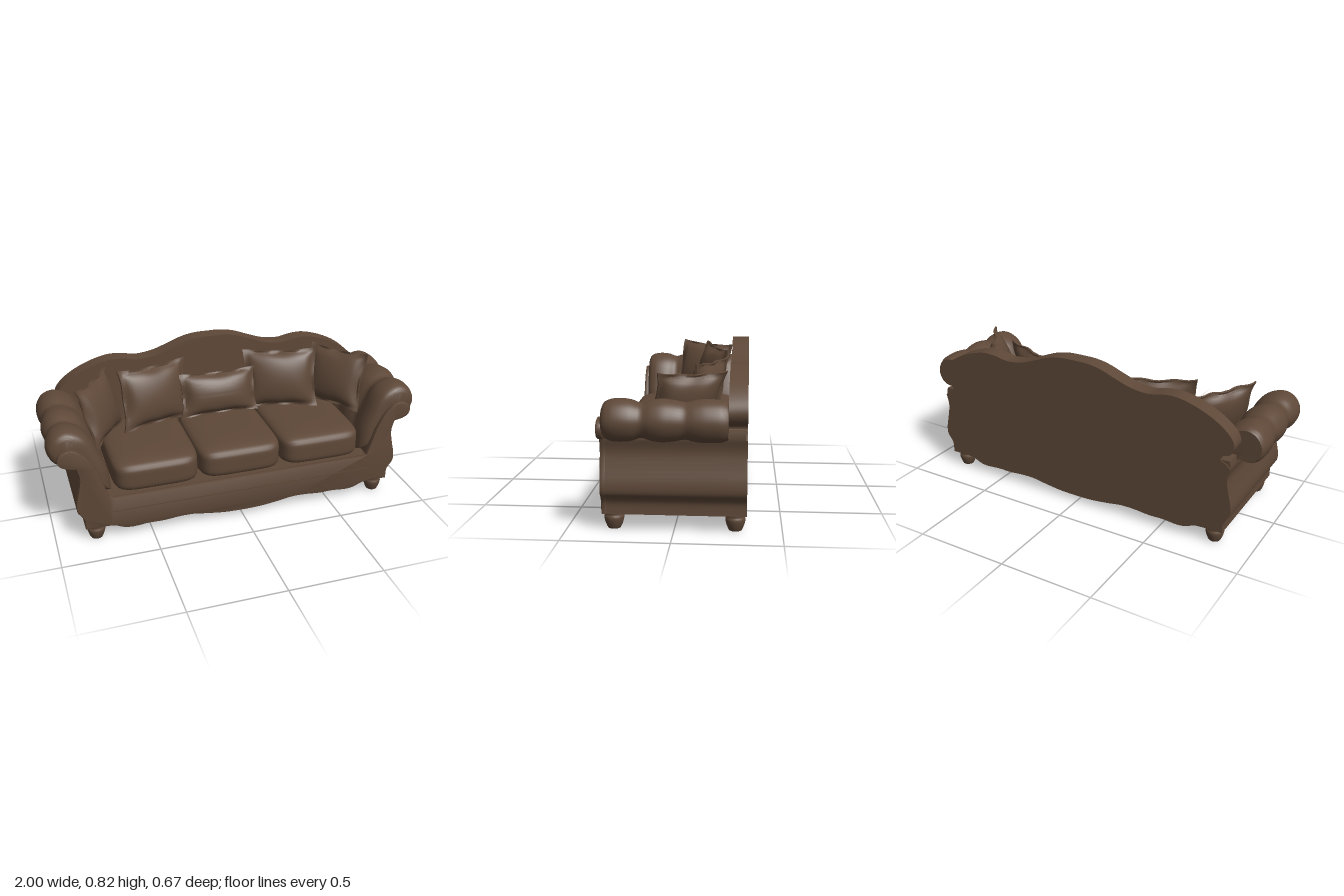
import * as THREE from 'three';
import { toCreasedNormals, mergeVertices } from 'three/addons/utils/BufferGeometryUtils.js';

const leather = new THREE.MeshStandardMaterial({ color: 0x5e4838 });
leather.name = 'brown leather';

const vecs = (pts) => pts.map(([x, y]) => new THREE.Vector2(x, y));
const smooth = (pts, n) => new THREE.SplineCurve(vecs(pts)).getPoints(n);

function part(name, geometry, parent) {
  const mesh = new THREE.Mesh(geometry, leather);
  mesh.name = name;
  parent.add(mesh);
  return mesh;
}

// Extrude a half outline (right side, bottom to top), mirrored in x, from z0 to z1
function symmetricSlab(half, z0, z1, bevel = 0) {
  const mirrored = half.filter((p) => p.x > 1e-4).reverse().map((p) => new THREE.Vector2(-p.x, p.y));
  const geo = new THREE.ExtrudeGeometry(new THREE.Shape([...half, ...mirrored]), {
    depth: z1 - z0 - 2 * bevel, bevelEnabled: bevel > 0, bevelSize: bevel,
    bevelOffset: -bevel, bevelThickness: bevel, bevelSegments: 2,
  });
  geo.translate(0, 0, z0 + bevel);
  return toCreasedNormals(geo, 0.6);
}

// Reshape a finely divided box with a rule for every vertex
function mouldedBox(sx, sy, sz, rule, crease) {
  const geo = new THREE.BoxGeometry(2, 2, 2, sx, sy, sz);
  const p = geo.attributes.position;
  for (let i = 0; i < p.count; i++) p.setXYZ(i, ...rule(p.getX(i), p.getY(i), p.getZ(i)));
  return toCreasedNormals(geo, crease);
}

function seatCushion(w, h, d) {
  return mouldedBox(20, 12, 20, (x, y, z) => {
    const n = Math.pow(x ** 6 + y ** 6 + z ** 6, 1 / 6);
    const puff = 1 + 0.08 * (1 - x * x) * (1 - z * z);
    return [(x / n) * w / 2, (y / n) * puff * h / 2, (z / n) * d / 2];
  }, 1.2);
}

// Puffed pillow with drawn-in sides and a wavy flat flange
function pillow(w, h, t) {
  return mouldedBox(28, 28, 1, (x, y, z) => {
    const a = Math.max(0, 1 - (x / 0.88) ** 2), b = Math.max(0, 1 - (y / 0.88) ** 2);
    const wave = 0.007 * Math.sin(8 * x + 5 * y) * Math.max(x * x, y * y) ** 3;
    return [
      (w / 2) * x * (1 - 0.08 * (1 - y * y)),
      (h / 2) * y * (1 - 0.08 * (1 - x * x)),
      z * (0.005 + t * Math.pow(a * b, 0.45)) + wave,
    ];
  }, 0.8);
}

// Rolled arm: one closed section swept in z and swelling into three lobes
function armRoll() {
  const section = smooth([[0.69, 0.25], [0.70, 0.36], [0.735, 0.46], [0.78, 0.56], [0.83, 0.61], [0.9, 0.632],
    [0.96, 0.612], [0.995, 0.56], [0.997, 0.51], [0.97, 0.46], [0.92, 0.438], [0.87, 0.445], [0.82, 0.38], [0.78, 0.25]], 52);
  const profile = smooth([[-0.25, 0.84], [-0.22, 0.96], [-0.15, 0.995], [-0.1, 0.94], [-0.06, 0.85], [-0.015, 0.93],
    [0.04, 0.99], [0.09, 0.93], [0.135, 0.8], [0.18, 0.94], [0.225, 0.995], [0.27, 0.96], [0.3, 0.82], [0.312, 0.6]], 52);
  const rings = [[-0.25, 0], ...profile.map((p) => [p.x, p.y]), [0.312, 0]];
  const n = section.length, pos = [], index = [];
  rings.forEach(([z, s], i) => {
    section.forEach((p, j) => {
      pos.push(0.9 + (p.x - 0.9) * s, 0.53 + (p.y - 0.53) * s, z);
      if (i === rings.length - 1) return;
      const a = i * n + j, b = i * n + ((j + 1) % n);
      index.push(a, a + n, b, b, a + n, b + n);
    });
  });
  const geo = new THREE.BufferGeometry();
  geo.setAttribute('position', new THREE.Float32BufferAttribute(pos, 3));
  geo.setIndex(index);
  return toCreasedNormals(mergeVertices(geo), 0.8);
}

export function createModel() {
  const sofa = new THREE.Group();
  sofa.name = 'sofa';

  // Shared outlines: scalloped lower edge and flared sides
  const apron = smooth([[0, 0.035], [0.1, 0.038], [0.2, 0.05], [0.28, 0.062], [0.36, 0.062], [0.44, 0.055], [0.52, 0.056],
    [0.6, 0.05], [0.65, 0.056], [0.7, 0.076], [0.75, 0.08]], 40);
  const side = smooth([[0.848, 0.08], [0.848, 0.13], [0.862, 0.16], [0.882, 0.19], [0.882, 0.24], [0.866, 0.31],
    [0.855, 0.38], [0.868, 0.44]], 24);

  // Body with arm cores and seat deck
  const core = vecs([[0.86, 0.48], [0.81, 0.48], [0.77, 0.4], [0.74, 0.32], [0.725, 0.24], [0, 0.24]]);
  part('body', symmetricSlab([...apron, ...side, ...core], -0.33, 0.31), sofa);

  // Front panel ending in a scroll at each arm
  const scroll = smooth([[0.91, 0.447], [0.945, 0.465], [0.957, 0.5], [0.94, 0.53], [0.9, 0.545], [0.86, 0.535],
    [0.81, 0.485], [0.765, 0.4], [0.738, 0.32], [0.715, 0.25]], 30);
  part('frontPanel', symmetricSlab([...apron, ...side, ...scroll, ...vecs([[0.69, 0.24], [0, 0.24]])], 0.308, 0.335, 0.005), sofa);

  // Welt line across the front
  const welt = part('frontWelt', new THREE.BoxGeometry(1.46, 0.006, 0.006), sofa);
  welt.position.set(0, 0.165, 0.335);

  // Camel-shaped back, rounded over at the shoulders
  const crest = smooth([[0.845, 0.463], [0.815, 0.48], [0.825, 0.503], [0.86, 0.515], [0.88, 0.56], [0.855, 0.615], [0.78, 0.675],
    [0.68, 0.722], [0.58, 0.748], [0.5, 0.746], [0.42, 0.732], [0.33, 0.742], [0.25, 0.768], [0.16, 0.802],
    [0.08, 0.818], [0, 0.82]], 64);
  part('backrest', symmetricSlab([...apron, ...side, ...crest], -0.336, -0.25), sofa);

  // Rolled arms
  const arm = armRoll();
  for (const s of [1, -1]) part(s > 0 ? 'leftArm' : 'rightArm', arm, sofa).scale.x = s;

  // Three seat cushions
  const seat = seatCushion(0.456, 0.165, 0.58);
  for (const i of [-1, 0, 1]) part('seatCushion', seat, sofa).position.set(i * 0.455, 0.328, 0.042);

  // Scatter pillows fanned around the seat
  const addPillow = (name, geo, x, y, z, yaw, lean, roll = 0) => {
    const mesh = part(name, geo, sofa);
    mesh.position.set(x, y, z);
    mesh.rotation.set(-lean, yaw, roll, 'YXZ');
  };
  addPillow('centrePillow', pillow(0.45, 0.25, 0.06), 0, 0.533, -0.12, 0, 0.25);
  const large = pillow(0.42, 0.34, 0.06);
  const outer = pillow(0.37, 0.33, 0.055);
  for (const s of [1, -1]) {
    addPillow('innerPillow', large, s * 0.365, 0.573, -0.115, -s * 0.33, 0.22, s * 0.04);
    addPillow('outerPillow', outer, s * 0.675, 0.568, -0.05, -s * 1.0, 0.3, s * 0.04);
  }

  // Turned bun feet
  const footShape = new THREE.LatheGeometry([new THREE.Vector2(0, 0), ...smooth([[0.03, 0], [0.036, 0.012], [0.044, 0.035],
    [0.047, 0.055], [0.042, 0.068], [0.046, 0.085]], 14)], 24);
  for (const x of [-0.79, 0.79]) for (const z of [-0.283, 0.283]) part('foot', footShape, sofa).position.set(x, 0, z);

  return sofa;
}
